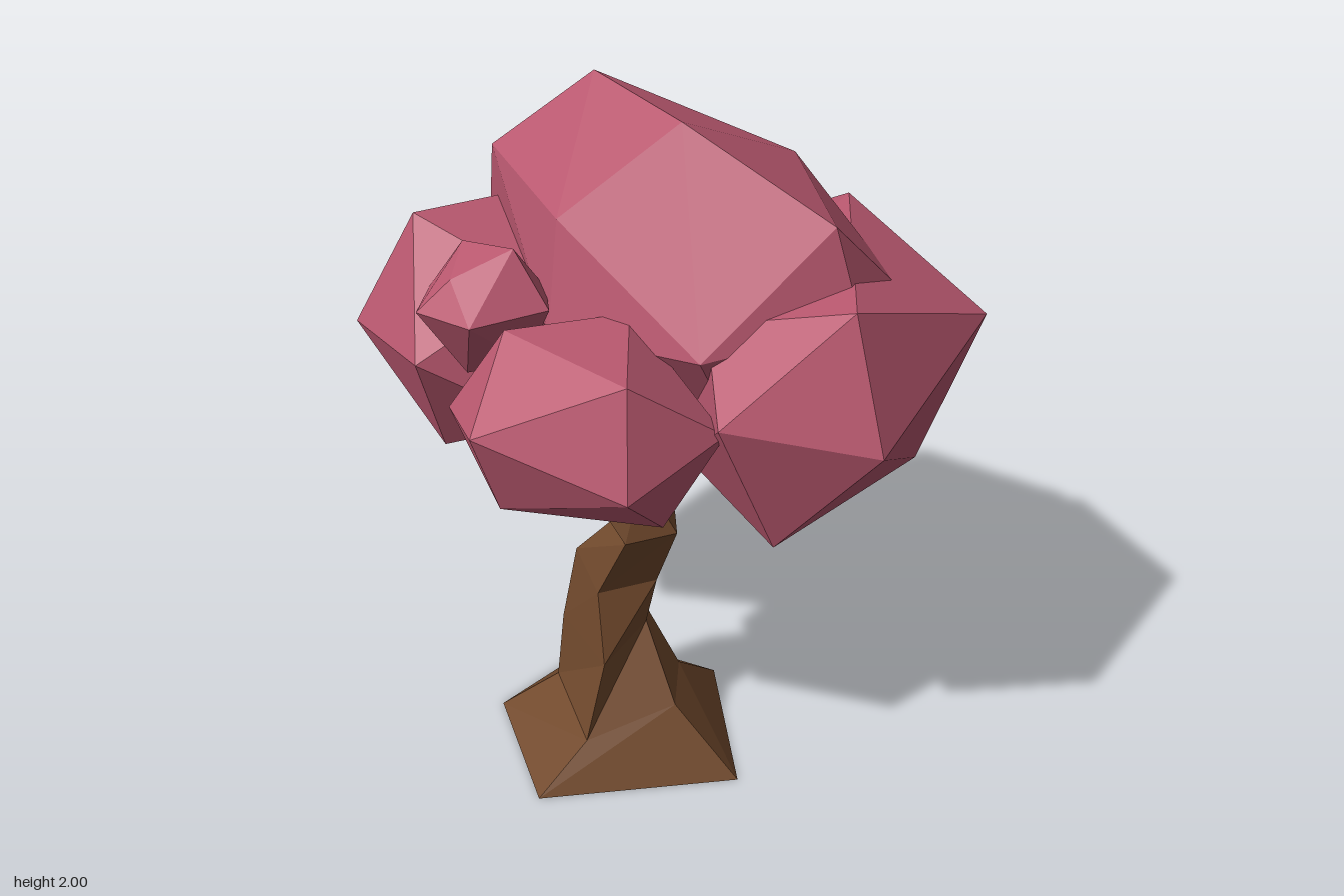
import * as THREE from 'three';
import { ConvexGeometry } from 'three/addons/geometries/ConvexGeometry.js';

const foliage = new THREE.MeshStandardMaterial({ color: 0xb9586f });
foliage.name = 'pinkFoliage';
const bark = new THREE.MeshStandardMaterial({ color: 0x724a2d });
bark.name = 'brownBark';

// Faceted convex clump of leaves from its corner points
function clump(name, corners) {
  const geometry = new ConvexGeometry(corners.map((c) => new THREE.Vector3(...c)));
  const mesh = new THREE.Mesh(geometry, foliage);
  mesh.name = name;
  return mesh;
}

// Faceted limb lofted through rings of equal point count, capped at both ends
function limb(name, rings) {
  const n = rings[0].length;
  const pos = [];
  const tri = (a, b, c) => pos.push(...a, ...b, ...c);
  for (let i = 0; i < rings.length - 1; i++) {
    const lo = rings[i], hi = rings[i + 1];
    for (let j = 0; j < n; j++) {
      const k = (j + 1) % n;
      tri(lo[j], lo[k], hi[k]);
      tri(lo[j], hi[k], hi[j]);
    }
  }
  const first = rings[0], last = rings[rings.length - 1];
  for (let j = 1; j < n - 1; j++) {
    tri(first[0], first[j + 1], first[j]);
    tri(last[0], last[j], last[j + 1]);
  }
  const geometry = new THREE.BufferGeometry();
  geometry.setAttribute('position', new THREE.Float32BufferAttribute(pos, 3));
  geometry.computeVertexNormals();
  const mesh = new THREE.Mesh(geometry, bark);
  mesh.name = name;
  return mesh;
}

export function createModel() {
  const tree = new THREE.Group();
  tree.name = 'tree';

  // Crooked five-sided trunk with flared foot, leaning into its first branch
  tree.add(limb('trunk', [
    [[0.41, 0, 0.09], [0.08, 0, -0.27], [-0.31, 0, -0.13], [-0.37, 0, 0.25], [-0.02, 0, 0.5]],
    [[0.2, 0.21, 0.12], [0.08, 0.18, -0.07], [-0.15, 0.15, -0.06], [-0.24, 0.11, 0.13], [0.03, 0.13, 0.33]],
    [[0.05, 0.42, 0.06], [0, 0.4, -0.01], [-0.12, 0.38, 0], [-0.21, 0.36, 0.13], [0.03, 0.36, 0.24]],
    [[0.08, 0.58, 0.05], [0.03, 0.6, 0.02], [-0.08, 0.62, 0.03], [-0.16, 0.63, 0.12], [-0.02, 0.58, 0.2]],
    [[0.15, 0.78, 0.05], [0.1, 0.8, -0.01], [0.03, 0.8, 0], [-0.02, 0.8, 0.1], [0.08, 0.8, 0.2]],
    [[0.05, 0.95, 0.08], [0, 0.95, 0], [-0.1, 0.97, 0], [-0.18, 1.0, 0.1], [-0.06, 0.97, 0.21]],
    [[-0.06, 1.08, 0.1], [-0.09, 1.08, 0.02], [-0.16, 1.1, 0.02], [-0.21, 1.12, 0.11], [-0.12, 1.1, 0.21]],
    [[-0.13, 1.3, 0.1], [-0.16, 1.3, 0.03], [-0.23, 1.3, 0.04], [-0.27, 1.3, 0.12], [-0.2, 1.3, 0.19]],
  ]));
  tree.add(limb('rightBranch', [
    [[0.05, 0.94, 0.08], [0, 0.94, 0.01], [-0.06, 0.94, 0.02], [-0.09, 0.95, 0.1], [-0.04, 0.95, 0.19]],
    [[0.13, 1.12, 0.06], [0.1, 1.12, -0.02], [0.05, 1.12, 0], [0.02, 1.1, 0.09], [0.07, 1.1, 0.16]],
    [[0.19, 1.3, 0.05], [0.16, 1.3, -0.01], [0.12, 1.3, 0], [0.1, 1.3, 0.08], [0.14, 1.3, 0.13]],
  ]));

  // Large crown on top
  tree.add(clump('topCrown', [
    [-0.25, 2, -0.12], [0.12, 1.99, 0.01], [-0.51, 1.77, 0], [0.55, 1.82, -0.02],
    [-0.34, 1.71, -0.42], [0.2, 1.79, -0.4], [0.13, 1.55, -0.49], [0.24, 1.55, -0.47],
    [0.54, 1.55, -0.3], [0.63, 1.58, -0.24], [0.63, 1.58, -0.03], [-0.62, 1.5, -0.1],
    [-0.12, 1.74, 0.21], [-0.1, 1.45, 0.28], [0.35, 1.5, 0.25], [-0.3, 1.35, -0.4],
    [0.3, 1.3, -0.38], [0, 1.15, -0.1], [0.35, 1.25, 0.1],
  ]));

  // Clump on the -x side
  tree.add(clump('rightClump', [
    [-0.81, 1.44, -0.09], [-0.6, 1.63, 0.23], [-0.8, 1.26, 0.29], [-0.41, 1.33, 0.46],
    [-0.5, 0.95, 0.28], [-0.75, 1.03, -0.08], [-0.34, 0.95, -0.11], [-0.15, 1.14, 0.25],
    [-0.2, 1.53, 0.2], [-0.45, 1.61, -0.15], [-0.45, 1.3, -0.28], [-0.12, 1.25, -0.05],
  ]));

  // Clump on the +x side
  tree.add(clump('leftClump', [
    [0.81, 1.345, 0.14], [0.79, 1.49, -0.41], [0.68, 1.68, 0.09], [0.53, 0.97, 0.16],
    [0.69, 1.07, -0.29], [0.46, 1.39, 0.33], [0.39, 1.4, -0.66], [0.31, 1.66, -0.51],
    [0.23, 1.0, -0.4], [-0.04, 1.45, -0.56], [0.2, 1.1, 0.1], [0.3, 1.55, 0.15],
    [0, 1.08, -0.3],
  ]));

  // Clump at the back
  tree.add(clump('backClump', [
    [-0.4, 1.53, -0.48], [-0.15, 1.35, -0.68], [-0.54, 1.34, -0.62], [-0.63, 1.37, -0.25],
    [-0.28, 1.03, -0.57], [-0.02, 1.02, -0.39], [-0.55, 1.03, -0.3], [-0.03, 1.4, -0.48],
    [-0.07, 1.52, -0.4], [-0.35, 1.52, -0.2], [0.05, 1.2, -0.2], [-0.2, 1.04, -0.12],
  ]));

  // Clump at the front
  tree.add(clump('frontClump', [
    [-0.03, 1.36, 0.675], [-0.11, 1.53, 0.44], [0.3, 1.53, 0.48], [0.36, 1.26, 0.56],
    [-0.26, 1.28, 0.5], [-0.03, 1.1, 0.58], [0.35, 1.1, 0.4], [-0.18, 1.1, 0.27],
    [0.45, 1.35, 0.28], [0.1, 1.54, 0.2], [0.2, 1.12, 0.15], [-0.22, 1.35, 0.2],
  ]));

  // Small tuft at the front
  tree.add(clump('smallTuft', [
    [-0.18, 1.68, 0.31], [-0.37, 1.64, 0.29], [-0.29, 1.61, 0.43], [-0.47, 1.49, 0.32],
    [-0.36, 1.52, 0.49], [-0.18, 1.53, 0.49], [-0.07, 1.54, 0.31], [-0.3, 1.31, 0.38],
    [-0.18, 1.34, 0.28], [-0.3, 1.55, 0.17], [-0.18, 1.52, 0.19], [-0.38, 1.38, 0.25],
  ]));

  return tree;
}
